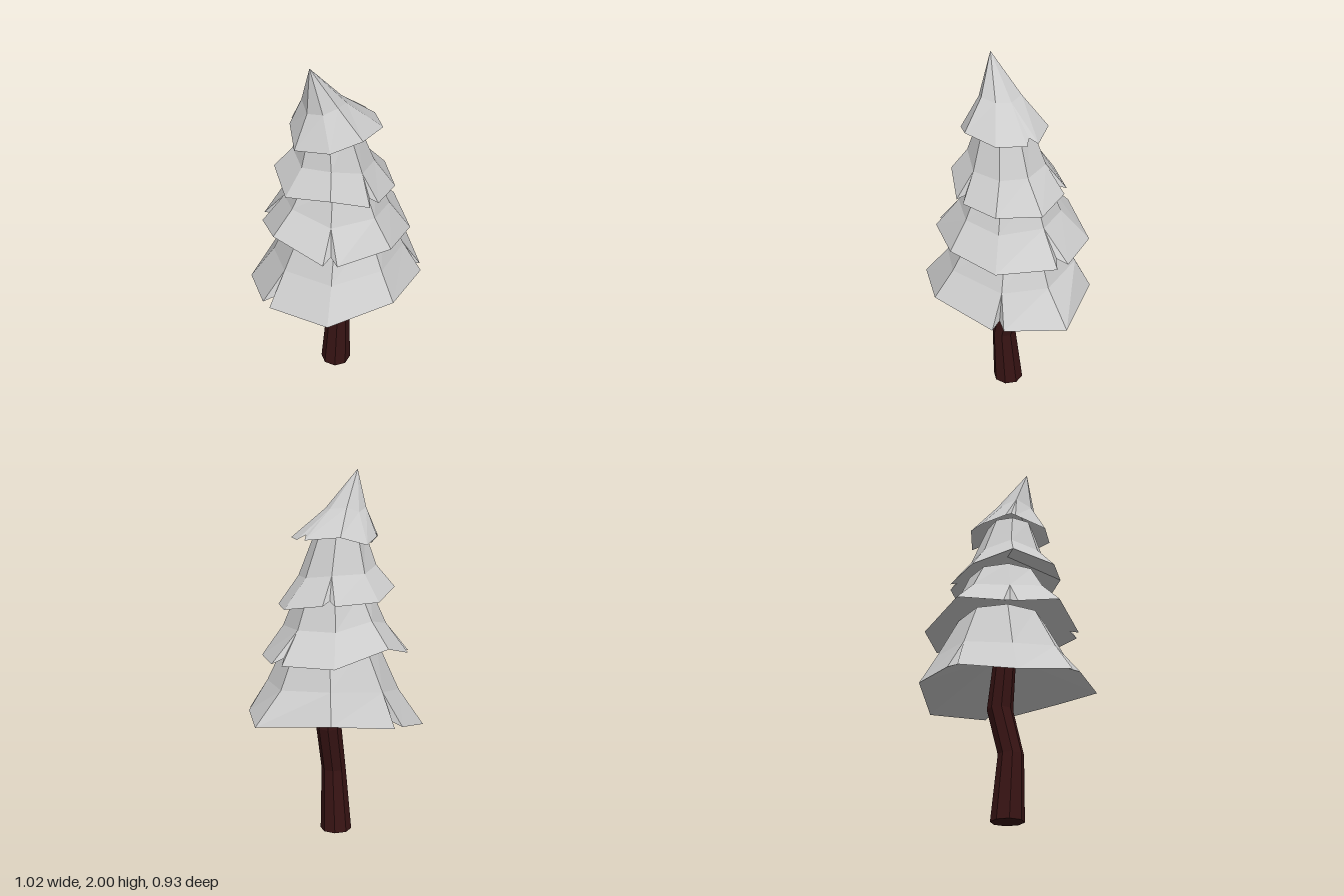
import * as THREE from 'three';

const leafMaterial = new THREE.MeshStandardMaterial({ color: 0xcccccc, flatShading: true, side: THREE.DoubleSide });
const barkMaterial = new THREE.MeshStandardMaterial({ color: 0x381414, flatShading: true });

const SIDES = 8;

// A point at an angle around a ring, turning from +x towards +z
const onRing = (x, y, r, angle) => [x + r * Math.cos(angle), y, r * Math.sin(angle)];
const blend = (p, q, t) => p.map((value, k) => value + (q[k] - value) * t);

// Skirt of eight panels with a hollow underside. Each rim corner has its own
// reach, rise and turn (degrees), and is notched where named in splits.
function createTier(name, top, mid, rim) {
  const positions = [];
  const tri = (...points) => points.forEach((p) => positions.push(...p));
  const quad = (a, b, c, d) => { tri(a, b, c); tri(a, c, d); };
  const centre = [mid.x, mid.y + 0.05, 0];

  const corners = rim.reach.map((reach, i) => {
    const angle = THREE.MathUtils.degToRad((360 / SIDES) * i + rim.turn[i]);
    const split = rim.splits.includes(i);
    const gap = split ? rim.gap : 0;
    const rimPoint = (a) => onRing(rim.x, rim.y + rim.rise[i], reach, a);
    return {
      split,
      top: onRing(top.x, top.y, top.r, angle),
      mid: onRing(mid.x, mid.y + 0.6 * rim.rise[i], mid.r, angle),
      before: rimPoint(angle - gap),
      after: rimPoint(angle + gap),
      notch: blend(rimPoint(angle), centre, 0.12),
    };
  });

  corners.forEach((a, i) => {
    const b = corners[(i + 1) % SIDES];
    if (top.r > 0) quad(b.mid, a.mid, a.top, b.top);
    else tri(b.mid, a.mid, a.top);
    quad(b.before, a.after, a.mid, b.mid);
    tri(a.after, b.before, centre);
    if (a.split) {
      // Walls and underside of the notch
      tri(a.notch, a.before, a.mid);
      tri(a.after, a.notch, a.mid);
      tri(a.before, a.notch, centre);
      tri(a.notch, a.after, centre);
    }
  });

  const geometry = new THREE.BufferGeometry();
  geometry.setAttribute('position', new THREE.Float32BufferAttribute(positions, 3));
  geometry.computeVertexNormals();
  const mesh = new THREE.Mesh(geometry, leafMaterial);
  mesh.name = name;
  return mesh;
}

// Crooked trunk: a cylinder whose rings are shifted along a bent path
function createTrunk() {
  const rings = [
    { x: -0.043, y: 0, z: 0, r: 0.087 },
    { x: -0.047, y: 0.35, z: 0.025, r: 0.068 },
    { x: 0.007, y: 0.6, z: 0.003, r: 0.07 },
    { x: -0.03, y: 0.9, z: 0, r: 0.06 },
  ];
  const geometry = new THREE.CylinderGeometry(1, 1, 3, SIDES, 3);
  const position = geometry.attributes.position;
  for (let i = 0; i < position.count; i++) {
    const ring = rings[Math.round(position.getY(i) + 1.5)];
    position.setXYZ(i, ring.x + ring.r * position.getX(i), ring.y, ring.z + ring.r * position.getZ(i));
  }
  geometry.computeVertexNormals();
  const mesh = new THREE.Mesh(geometry, barkMaterial);
  mesh.name = 'trunk';
  return mesh;
}

export function createModel() {
  const tree = new THREE.Group();
  tree.name = 'pineTree';
  tree.add(createTrunk());

  // Tiers of branches, from the widest up to the leaning tip
  tree.add(createTier('bottomBranches',
    { x: -0.01, y: 1.1, r: 0.24 },
    { x: -0.02, y: 0.86, r: 0.36 },
    {
      x: -0.03, y: 0.69, gap: 0.065,
      reach: [0.54, 0.47, 0.47, 0.49, 0.48, 0.49, 0.465, 0.455],
      rise: [0, 0.01, 0.07, 0.01, -0.01, -0.07, -0.01, 0.03],
      turn: [0, -4, 2, 2, 4, -1, -5, -2],
      splits: [1, 4, 6],
    }));
  tree.add(createTier('lowerMiddleBranches',
    { x: -0.03, y: 1.36, r: 0.2 },
    { x: -0.03, y: 1.19, r: 0.28 },
    {
      x: -0.02, y: 1.04, gap: 0.09,
      reach: [0.425, 0.39, 0.39, 0.41, 0.41, 0.41, 0.41, 0.43],
      rise: [-0.03, -0.04, 0.01, 0, 0.06, -0.01, 0.05, -0.03],
      turn: [-6, 0, -3, 2, 6, 1, -3, -5],
      splits: [0, 3, 5],
    }));
  tree.add(createTier('upperMiddleBranches',
    { x: -0.07, y: 1.68, r: 0.13 },
    { x: -0.05, y: 1.46, r: 0.21 },
    {
      x: -0.05, y: 1.32, gap: 0.1,
      reach: [0.35, 0.32, 0.3, 0.3, 0.32, 0.31, 0.315, 0.32],
      rise: [-0.04, -0.04, -0.02, 0.06, 0.025, 0.06, 0, -0.01],
      turn: [3, -1, -2, -1, 0, 1, -2, 4],
      splits: [2, 7],
    }));
  tree.add(createTier('treetop',
    { x: -0.195, y: 2, r: 0 },
    { x: -0.11, y: 1.79, r: 0.11 },
    {
      x: -0.06, y: 1.635, gap: 0.13,
      reach: [0.257, 0.255, 0.24, 0.235, 0.25, 0.21, 0.235, 0.22],
      rise: [0, 0.005, 0.025, -0.015, -0.035, 0.015, -0.025, 0.015],
      turn: [2, 0, 2, -2, -2, 4, 2, -6],
      splits: [0, 5],
    }));
  return tree;
}
